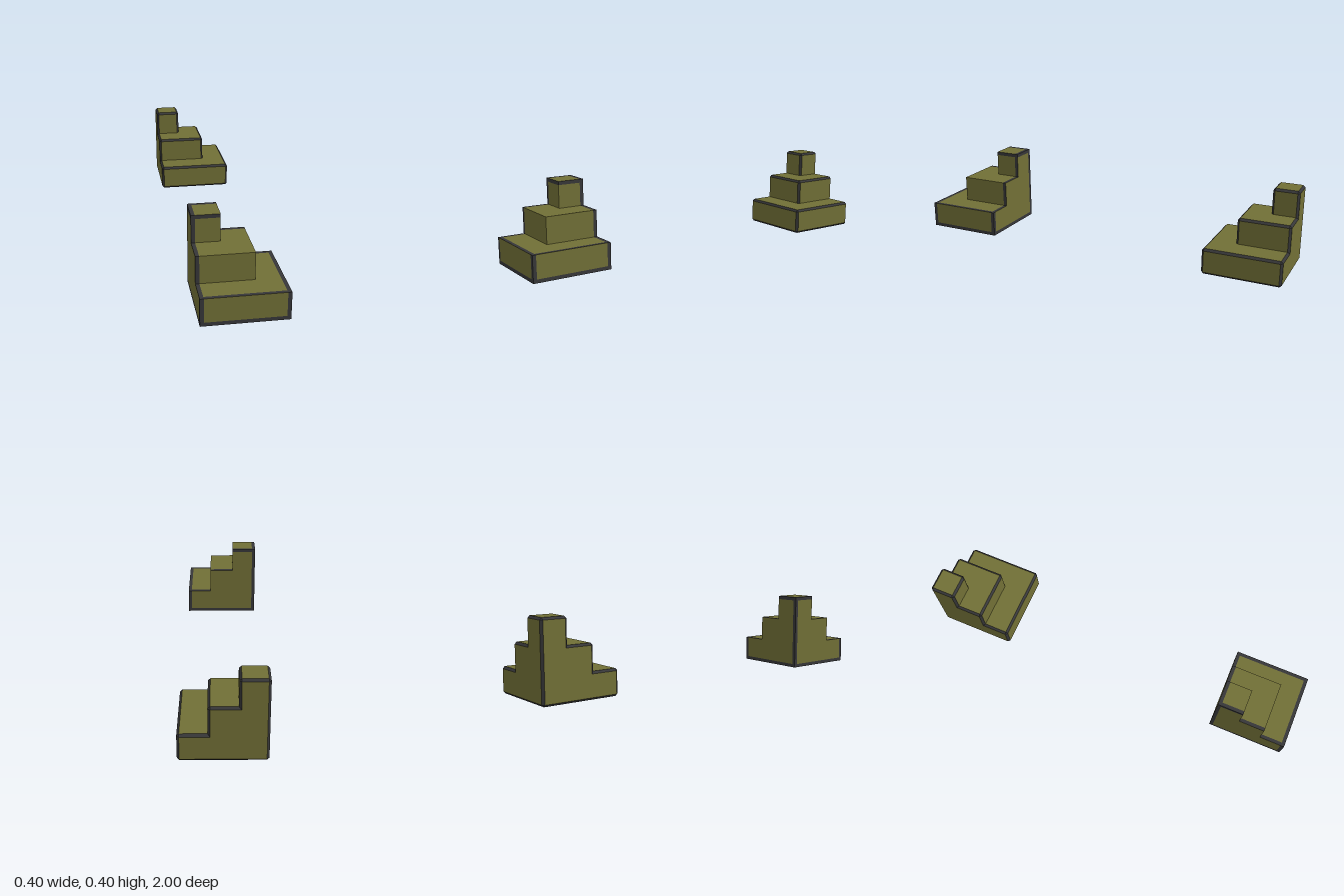
import * as THREE from 'three';

const SIZE = 0.4, STEP = SIZE / 3, BORDER = 0.018, BEVEL = 0.011;

const olive = new THREE.MeshStandardMaterial({ color: 0x716f36 });
olive.name = 'olive';
const charcoal = new THREE.MeshStandardMaterial({ color: 0x363638 });
charcoal.name = 'charcoal';

// Collects convex polygons and turns each one outward from a centre point
function faceList(centre) {
  const data = [];
  return {
    add(...pts) {
      const n = pts[1].clone().sub(pts[0]).cross(pts[2].clone().sub(pts[0]));
      if (n.dot(pts[0].clone().sub(centre)) < 0) pts.reverse();
      for (let i = 1; i < pts.length - 1; i++)
        for (const p of [pts[0], pts[i], pts[i + 1]]) data.push(p.x, p.y, p.z);
    },
    mesh(name, material) {
      const g = new THREE.BufferGeometry();
      g.setAttribute('position', new THREE.Float32BufferAttribute(data, 3));
      g.computeVertexNormals();
      const m = new THREE.Mesh(g, material);
      m.name = name;
      return m;
    },
  };
}

const vec = (a) => new THREE.Vector3(...a);
const middle = (lo, hi) => vec(lo).add(vec(hi)).multiplyScalar(0.5);

// Cuts an interval at the painted border of the whole block
function pieces(a, b, lo, hi) {
  const cuts = [a, lo + BORDER, hi - BORDER, b].filter((c) => c >= a && c <= b);
  const out = [];
  for (let i = 0; i < cuts.length - 1; i++) {
    const m = (cuts[i] + cuts[i + 1]) / 2;
    if (cuts[i + 1] - cuts[i] > 1e-6)
      out.push([cuts[i], cuts[i + 1], m < lo + BORDER || m > hi - BORDER]);
  }
  return out;
}

// Sharp slab with a painted frame that follows the bounds of the whole block
function framedSlab(lo, hi, min, max, isBase) {
  const c = middle(lo, hi), plain = faceList(c), frame = faceList(c);
  for (let k = 0; k < 3; k++) {
    const u = (k + 1) % 3, v = (k + 2) % 3;
    for (const side of [lo, hi]) {
      if (k === 1 && side === lo && !isBase) continue;
      for (const [u0, u1, du] of pieces(lo[u], hi[u], min[u], max[u]))
        for (const [v0, v1, dv] of pieces(lo[v], hi[v], min[v], max[v])) {
          const at = (a, b) => {
            const p = [0, 0, 0];
            p[k] = side[k]; p[u] = a; p[v] = b;
            return vec(p);
          };
          (du || dv ? frame : plain).add(at(u0, v0), at(u1, v0), at(u1, v1), at(u0, v1));
        }
    }
  }
  return [plain.mesh('slabFaces', olive), frame.mesh('paintedFrame', charcoal)];
}

// Slab with dark chamfers on every edge
function bevelledSlab(lo, hi) {
  const c = middle(lo, hi), plain = faceList(c), edge = faceList(c);
  // Corner of face k nearest the box corner given by signs s
  const at = (s, k) => vec(s.map((q, i) => {
    const inset = i === k ? 0 : BEVEL;
    return q > 0 ? hi[i] - inset : lo[i] + inset;
  }));
  const signs = (k, a, b, d) => {
    const s = [0, 0, 0];
    s[k] = a; s[(k + 1) % 3] = b; s[(k + 2) % 3] = d;
    return s;
  };
  for (let k = 0; k < 3; k++) {
    const u = (k + 1) % 3, v = (k + 2) % 3;
    for (const a of [-1, 1]) {
      plain.add(at(signs(k, a, -1, -1), k), at(signs(k, a, 1, -1), k),
        at(signs(k, a, 1, 1), k), at(signs(k, a, -1, 1), k));
      // Chamfers running along axis k
      for (const b of [-1, 1])
        edge.add(at(signs(k, -1, a, b), u), at(signs(k, 1, a, b), u),
          at(signs(k, 1, a, b), v), at(signs(k, -1, a, b), v));
    }
  }
  // Corner triangles
  for (const x of [-1, 1]) for (const y of [-1, 1]) for (const z of [-1, 1])
    edge.add(at([x, y, z], 0), at([x, y, z], 1), at([x, y, z], 2));
  return [plain.mesh('slabFaces', olive), edge.mesh('bevelledEdges', charcoal)];
}

// Three shrinking slabs stacked into the corner at (-x, z0)
function cornerStairs(name, z0, bevelled) {
  const group = new THREE.Group();
  group.name = name;
  const x0 = -SIZE / 2;
  const min = [x0, 0, z0], max = [x0 + SIZE, SIZE, z0 + SIZE];
  for (let i = 0; i < 3; i++) {
    const w = SIZE - i * STEP;
    // Bevelled slabs sink into the one below so the back walls stay flush
    const sink = bevelled && i > 0 ? 2 * BEVEL : 0;
    const lo = [x0, i * STEP - sink, z0], hi = [x0 + w, (i + 1) * STEP, z0 + w];
    const slab = new THREE.Group();
    slab.name = ['bottomStep', 'middleStep', 'topStep'][i];
    slab.add(...(bevelled ? bevelledSlab(lo, hi) : framedSlab(lo, hi, min, max, i === 0)));
    group.add(slab);
  }
  return group;
}

export function createModel() {
  const model = new THREE.Group();
  model.name = 'cornerStairPair';
  model.add(cornerStairs('framedStairs', 0.6, false));
  model.add(cornerStairs('bevelledStairs', -1, true));
  return model;
}
